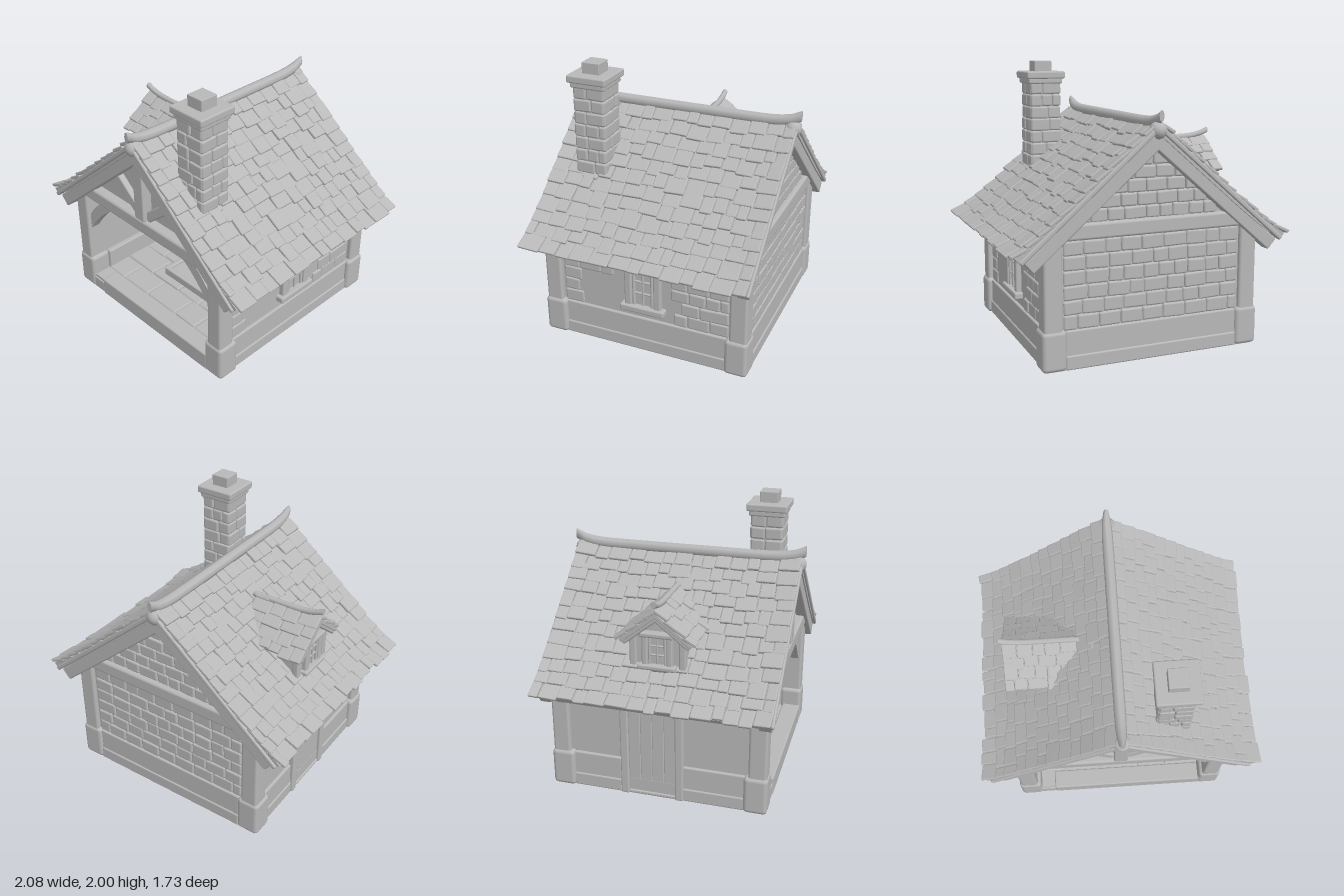
import * as THREE from 'three';
import { mergeGeometries } from 'three/addons/utils/BufferGeometryUtils.js';
import { RoundedBoxGeometry } from 'three/addons/geometries/RoundedBoxGeometry.js';

const clay = new THREE.MeshStandardMaterial({ color: 0xb8b8b8 });
clay.name = 'clay grey';

let seed = 7;
const rnd = (a, b) => {
  seed = (seed * 16807) % 2147483647;
  return a + (b - a) * (seed / 2147483647);
};

function add(parent, name, geo) {
  const m = new THREE.Mesh(geo, clay);
  m.name = name;
  parent.add(m);
  return m;
}
function group(parent, name) {
  const g = new THREE.Group();
  g.name = name;
  parent.add(g);
  return g;
}
// softened block given by its centre and size
function block(parent, name, w, h, d, x, y, z, r = 0.012) {
  const m = add(parent, name, new RoundedBoxGeometry(w, h, d, 2, Math.min(r, w / 2.1, h / 2.1, d / 2.1)));
  m.position.set(x, y, z);
  return m;
}
// timber between two points of a plane at depth z
function timber(parent, name, x1, y1, x2, y2, t, d, z) {
  const m = block(parent, name, Math.hypot(x2 - x1, y2 - y1), t, d, (x1 + x2) / 2, (y1 + y2) / 2, z);
  m.rotation.z = Math.atan2(y2 - y1, x2 - x1);
  return m;
}
function prism(points, depth) {
  const s = new THREE.Shape(points.map(p => new THREE.Vector2(...p)));
  return new THREE.ExtrudeGeometry(s, { depth, bevelEnabled: false });
}
// irregular courses of stone on a w x h face looking along +z
function stones(parent, name, w, h, rows, size, keep = () => true) {
  const list = [], rh = h / rows;
  for (let r = 0; r < rows; r++) {
    for (let x = -w / 2; x < w / 2 - 0.01;) {
      let sw = rnd(0.75, 1.35) * size;
      if (x + sw > w / 2 - size * 0.4) sw = w / 2 - x;
      const cx = x + sw / 2, cy = (r + 0.5) * rh;
      if (keep(cx, cy, sw)) {
        const g = new RoundedBoxGeometry(sw - 0.003, rh * rnd(0.94, 1.02), 0.036, 2, 0.014);
        g.rotateZ(rnd(-0.04, 0.04));
        g.translate(cx, cy, rnd(-0.009, -0.002));
        list.push(g);
      }
      x += sw;
    }
  }
  return add(parent, name, mergeGeometries(list));
}
// leaded window looking along +z
function makeWindow(parent, name, w, h) {
  const g = group(parent, name);
  add(g, 'pane', new THREE.BoxGeometry(w * 0.7, h * 0.85, 0.008)).position.z = 0.006;
  for (const s of [-1, 1]) {
    block(g, 'jamb', w * 0.17, h * 0.86, 0.05, s * w * 0.35, 0, 0.01);
    block(g, 'innerJamb', w * 0.07, h * 0.8, 0.035, s * w * 0.22, 0, 0.01);
    block(g, s > 0 ? 'lintel' : 'sill', w * (s > 0 ? 0.95 : 1.06), h * 0.13, 0.08, 0, s * h * 0.435, 0.015);
  }
  block(g, 'mullion', w * 0.04, h * 0.75, 0.025, 0, 0, 0.01);
  for (const y of [-0.12, 0.12]) block(g, 'glazingBar', w * 0.42, h * 0.035, 0.025, 0, y * h, 0.01);
  return g;
}

const ANGLE = Math.atan(0.86), SLOPE = 1.27;
// flare of the roof towards gables and eaves
function flare(geo) {
  const p = geo.attributes.position;
  for (let i = 0; i < p.count; i++) {
    const x = p.getX(i), z = p.getZ(i);
    p.setY(i, p.getY(i) + 0.025 * (z / 0.84) ** 6 + 0.035 * Math.max(0, x / SLOPE) ** 8);
  }
  geo.computeVertexNormals();
  return geo;
}
// overlapping tiles on a slope: x runs downhill, z along the eave
function tiles(parent, length, width, rows, size) {
  const list = [], step = length / rows;
  for (let r = 0; r < rows; r++) {
    for (let z = -width / 2; z < width / 2 - 0.01;) {
      let tw = rnd(0.65, 1.4) * size;
      if (z + tw > width / 2 - size * 0.5) tw = width / 2 - z;
      const g = new RoundedBoxGeometry(step * rnd(1.2, 1.4), 0.026, tw - 0.004, 1, 0.008);
      g.rotateZ(rnd(0.08, 0.16));
      g.rotateY(rnd(-0.04, 0.04));
      g.translate((r + 0.55) * step + rnd(-0.015, 0.015), rnd(-0.008, 0.006), z + tw / 2);
      list.push(g);
      z += tw;
    }
  }
  return add(parent, 'roofTiles', flare(mergeGeometries(list)));
}

function roof(root) {
  for (const s of [1, -1]) {
    const outer = group(root, s > 0 ? 'leftRoof' : 'rightRoof');
    outer.position.y = 1.6;
    outer.rotation.y = s > 0 ? 0 : Math.PI;
    const side = group(outer, 'slope');
    side.rotation.z = -ANGLE;
    const deck = new THREE.BoxGeometry(SLOPE, 0.05, 1.66, 12, 1, 14);
    deck.translate(SLOPE / 2, -0.04, 0);
    add(side, 'roofDeck', flare(deck).toNonIndexed()).geometry.computeVertexNormals();
    tiles(side, SLOPE, 1.67, 12, 0.115);
    for (const e of [-1, 1]) {
      block(side, 'bargeBoard', 1.24, 0.1, 0.09, 0.63, -0.075, e * 0.775);
      block(side, 'bargeTrim', 1.26, 0.035, 0.05, 0.64, -0.005, e * 0.82);
    }
    for (let i = 0; i < 7; i++) block(side, 'rafterTail', 0.2, 0.04, 0.05, 1.15, -0.075, -0.66 + i * 0.22);
  }
  // ridge cap sweeping up to points at both gables
  const cap = new THREE.CylinderGeometry(0.04, 0.04, 1.72, 8, 24);
  cap.rotateX(Math.PI / 2);
  const p = cap.attributes.position;
  for (let i = 0; i < p.count; i++) {
    const t = Math.abs(p.getZ(i) / 0.86);
    p.setX(i, p.getX(i) * (1 - 0.55 * t ** 14));
    p.setY(i, p.getY(i) + 1.612 + 0.055 * t ** 10);
  }
  cap.computeVertexNormals();
  add(root, 'ridgeCap', cap);
  for (const e of [-1, 1]) add(root, 'ridgeBoss', new THREE.SphereGeometry(0.06, 16, 12)).position.set(0, 1.57, e * 0.805);
}

function walls(root) {
  add(root, 'foundation', new THREE.BoxGeometry(1.54, 0.12, 1.54)).position.y = 0.06;
  add(root, 'ceiling', new THREE.BoxGeometry(1.5, 0.02, 1.46)).position.y = 0.88;
  add(root, 'backWall', new THREE.BoxGeometry(1.5, 0.87, 0.1)).position.set(0, 0.435, -0.7);
  block(root, 'backLedge', 1.3, 0.28, 0.1, 0, 0.14, -0.62);
  for (const s of [-1, 1]) {
    add(root, 'sideWall', new THREE.BoxGeometry(0.09, 0.87, 1.5)).position.set(s * 0.705, 0.435, 0);
    block(root, 'sideLedge', 0.05, 0.28, 1.3, s * 0.645, 0.14, -0.02);
    for (const e of [-1, 1]) {
      block(root, 'cornerStone', 0.17, 0.28, 0.17, s * 0.72, 0.14, e * 0.705, 0.03);
      block(root, 'cornerPost', 0.13, 0.66, 0.13, s * 0.725, 0.56, e * 0.715, 0.02);
    }
    // gable infill front and back
    const gable = add(root, 'gableInfill', prism([[-0.78, 0.87], [0.78, 0.87], [0, 1.54]], 0.06));
    gable.position.z = s > 0 ? 0.66 : -0.74;
    block(root, 'tieBeam', 1.42, 0.11, 0.12, 0, 0.93, s * 0.735, 0.02);
  }
  // base courses: back and both sides, leaving the doorway clear
  block(root, 'backPlinth', 1.28, 0.27, 0.06, 0, 0.135, -0.74);
  block(root, 'backCourse', 1.28, 0.1, 0.06, 0, 0.05, -0.75);
  for (const [x, z, l] of [[0.74, 0, 1.28], [-0.74, -0.45, 0.36], [-0.74, 0.4, 0.46]]) {
    block(root, 'sidePlinth', 0.06, 0.27, l, x, 0.135, z);
    block(root, 'sideCourse', 0.06, 0.1, l, x * 1.013, 0.05, z);
  }
  // exposed masonry
  const back = group(root, 'backMasonry');
  back.rotation.y = Math.PI;
  back.position.z = -0.75;
  stones(back, 'wallStones', 1.3, 0.6, 6, 0.13).position.y = 0.27;
  stones(back, 'gableStones', 1.4, 0.54, 6, 0.12, (x, y, w) => Math.abs(x) + w / 2 < 0.66 - y * 1.12).position.y = 0.98;
  const side = group(root, 'sideMasonry');
  side.rotation.y = Math.PI / 2;
  side.position.set(0.75, 0.27, 0);
  stones(side, 'wallStones', 1.28, 0.58, 6, 0.13,
    (x, y) => Math.abs(x) > 0.19 && (x > 0.2 + 0.12 * Math.sin(y * 14) || y > 0.3 || x < -0.5));
  const win = makeWindow(root, 'sideWindow', 0.32, 0.39);
  win.rotation.y = Math.PI / 2;
  win.position.set(0.755, 0.525, 0);
}

function front(root) {
  // floor edge, paving and hearth
  block(root, 'frontStep', 1.18, 0.14, 0.14, 0.06, 0.07, 0.715);
  block(root, 'lowStep', 0.13, 0.1, 0.13, -0.59, 0.05, 0.715);
  const paving = stones(root, 'paving', 1.28, 1.2, 6, 0.25);
  paving.rotation.x = -Math.PI / 2;
  paving.position.set(0, 0.12, 0.64);
  block(root, 'hearthBed', 0.44, 0.06, 0.36, 0, 0.15, 0.18);
  for (const s of [-1, 1]) {
    block(root, 'hearthEdge', 0.49, 0.07, 0.04, 0, 0.165, 0.18 + s * 0.185);
    block(root, 'hearthEnd', 0.04, 0.07, 0.4, s * 0.225, 0.165, 0.18);
  }
  // truss and curved knee braces
  timber(root, 'kingPost', 0, 0.98, 0, 1.55, 0.1, 0.09, 0.75);
  for (const s of [-1, 1]) {
    timber(root, 'trussStrut', s * 0.04, 1.0, s * 0.36, 1.27, 0.075, 0.06, 0.735);
    const shape = new THREE.Shape();
    shape.moveTo(0.67, 0.54);
    shape.quadraticCurveTo(0.53, 0.76, 0.33, 0.88);
    shape.lineTo(0.47, 0.88);
    shape.quadraticCurveTo(0.6, 0.79, 0.67, 0.66);
    const brace = add(root, 'kneeBrace', new THREE.ExtrudeGeometry(shape, { depth: 0.07, bevelEnabled: false, curveSegments: 10 }));
    brace.position.z = s > 0 ? 0.68 : 0.75;
    brace.rotation.y = s > 0 ? 0 : Math.PI;
  }
}

function chimney(root) {
  const g = group(root, 'chimney');
  g.position.set(0.37, 0, 0.525);
  add(g, 'shaft', new THREE.BoxGeometry(0.22, 0.75, 0.22)).position.y = 1.465;
  for (let i = 0; i < 4; i++) {
    const face = group(g, 'chimneyFace');
    face.rotation.y = i * Math.PI / 2;
    stones(face, 'chimneyStones', 0.235, 0.74, 8, 0.11).position.set(0, 1.1, 0.11);
  }
  block(g, 'collar', 0.265, 0.045, 0.265, 0, 1.85, 0);
  block(g, 'capStone', 0.3, 0.055, 0.3, 0, 1.893, 0);
  block(g, 'flue', 0.135, 0.1, 0.135, 0, 1.95, 0, 0.006);
}

function dormer(root) {
  // built looking along +z, then turned to face out of the slope
  const g = group(root, 'dormer');
  g.rotation.y = -Math.PI / 2;
  add(g, 'dormerBody', prism([[-0.19, 0.92], [0.19, 0.92], [0.19, 1.23], [0, 1.39], [-0.19, 1.23]], 0.45)).position.z = 0.27;
  for (const s of [-1, 1]) {
    block(g, 'dormerPost', 0.05, 0.26, 0.05, s * 0.175, 1.09, 0.715);
    const outer = group(g, 'dormerRoof');
    outer.position.set(0, 1.42, 0.53);
    outer.rotation.y = s > 0 ? 0 : Math.PI;
    const slope = group(outer, 'dormerSlope');
    slope.rotation.z = -0.68;
    block(slope, 'dormerDeck', 0.34, 0.03, 0.52, 0.17, -0.025, 0, 0.005);
    tiles(slope, 0.34, 0.53, 4, 0.12);
    block(slope, 'dormerBarge', 0.33, 0.05, 0.04, 0.17, -0.04, s * 0.235);
  }
  const cap = new THREE.CylinderGeometry(0.022, 0.022, 0.56, 8, 10);
  cap.rotateX(Math.PI / 2);
  const p = cap.attributes.position;
  for (let i = 0; i < p.count; i++) p.setY(i, p.getY(i) + 0.045 * Math.max(0, p.getZ(i) / 0.28) ** 3);
  cap.computeVertexNormals();
  add(g, 'dormerRidge', cap).position.set(0, 1.425, 0.525);
  makeWindow(g, 'dormerWindow', 0.25, 0.27).position.set(0, 1.12, 0.72);
}

function door(root) {
  const g = group(root, 'sideDoor');
  g.rotation.y = -Math.PI / 2;
  g.position.set(-0.75, 0, -0.04);
  for (let i = 0; i < 4; i++) block(g, 'doorPlank', 0.085, 0.78, 0.02, -0.129 + i * 0.086, 0.41, 0.008, 0.006);
  for (const s of [-1, 1]) block(g, 'doorPost', 0.06, 0.86, 0.07, s * 0.2, 0.43, 0.005);
  block(g, 'doorLintel', 0.44, 0.06, 0.07, 0, 0.82, 0.005);
  block(g, 'doorSill', 0.36, 0.03, 0.06, 0, 0.015, 0);
}

export function createModel() {
  seed = 7;
  const root = new THREE.Group();
  root.name = 'cottage';
  for (const build of [walls, front, roof, chimney, dormer, door]) build(root);
  return root;
}
